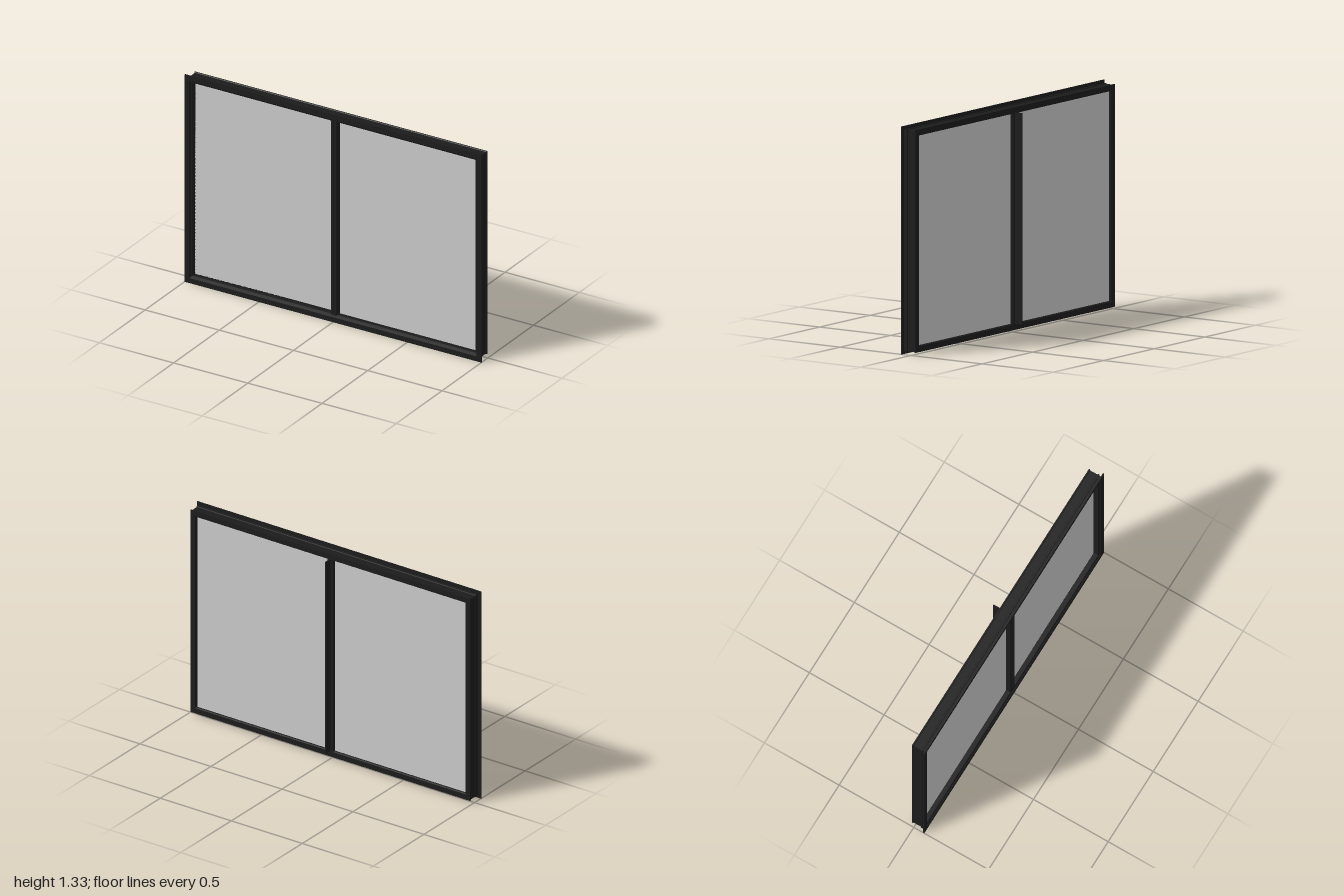
import * as THREE from 'three';

const W = 2, H = 1.325;

// Sweep a closed profile of [inset, z] points round the window rectangle with mitred corners
function mitredRing(profile) {
  const signs = [[-1, -1], [1, -1], [1, 1], [-1, 1]];
  const at = ([d, z], [sx, sy]) => [sx * (W / 2 - d), H / 2 + sy * (H / 2 - d), z];
  const pos = [];
  for (let k = 0; k < 4; k++) {
    const s = signs[k], t = signs[(k + 1) % 4];
    profile.forEach((p, i) => {
      const q = profile[(i + 1) % profile.length];
      const a = at(p, s), b = at(p, t), c = at(q, t), d = at(q, s);
      pos.push(...a, ...b, ...c, ...a, ...c, ...d);
    });
  }
  const g = new THREE.BufferGeometry();
  g.setAttribute('position', new THREE.Float32BufferAttribute(pos, 3));
  g.computeVertexNormals();
  return g;
}

// Extrude a closed profile of [x, z] points upward from y0 to y1
function upright(profile, y0, y1) {
  const shape = new THREE.Shape(profile.map(([x, z]) => new THREE.Vector2(x, -z)));
  const g = new THREE.ExtrudeGeometry(shape, { depth: y1 - y0, bevelEnabled: false });
  return g.rotateX(-Math.PI / 2).translate(0, y0, 0);
}

export function createModel() {
  const model = new THREE.Group();
  const dark = new THREE.MeshStandardMaterial({ color: 0x1c1c1c });
  const grey = new THREE.MeshStandardMaterial({ color: 0xcccccc });

  const add = (name, geometry, material) => {
    const mesh = new THREE.Mesh(geometry, material);
    mesh.name = name;
    model.add(mesh);
    return mesh;
  };

  // Outer frame: front flange, stepped bead, glazing reveal and grooved outer edge
  add('outerFrame', mitredRing([
    [0, 0.07], [0.032, 0.07], [0.036, 0.062], [0.046, 0.058], [0.046, 0.03],
    [0.052, 0.03], [0.052, -0.015], [0.048, -0.022], [0.015, -0.022], [0.015, -0.015],
    [0.019, -0.012], [0.019, 0.036], [0.015, 0.038], [0.015, 0.048], [0.019, 0.05],
    [0.019, 0.063], [0, 0.063],
  ]), dark);

  // Central mullion with chamfered front and shallow centre groove
  add('mullion', upright([
    [-0.023, -0.015], [-0.019, -0.022], [0.019, -0.022], [0.023, -0.015],
    [0.023, 0.055], [0.017, 0.062], [0.004, 0.062], [0.004, 0.057],
    [-0.004, 0.057], [-0.004, 0.062], [-0.017, 0.062], [-0.023, 0.055],
  ].reverse(), 0.04, H - 0.04), dark);

  // Thin fin standing out behind the mullion
  const fin = add('mullionFin', new THREE.BoxGeometry(0.006, 1.23, 0.055), dark);
  fin.position.set(0, 0.665, -0.0425);

  // Two panes of glazing
  for (const side of [-1, 1]) {
    const pane = add(side > 0 ? 'leftPane' : 'rightPane',
      new THREE.BoxGeometry(0.945, H - 0.08, 0.036), grey);
    pane.position.set(side * 0.485, H / 2, 0.012);
  }
  return model;
}
